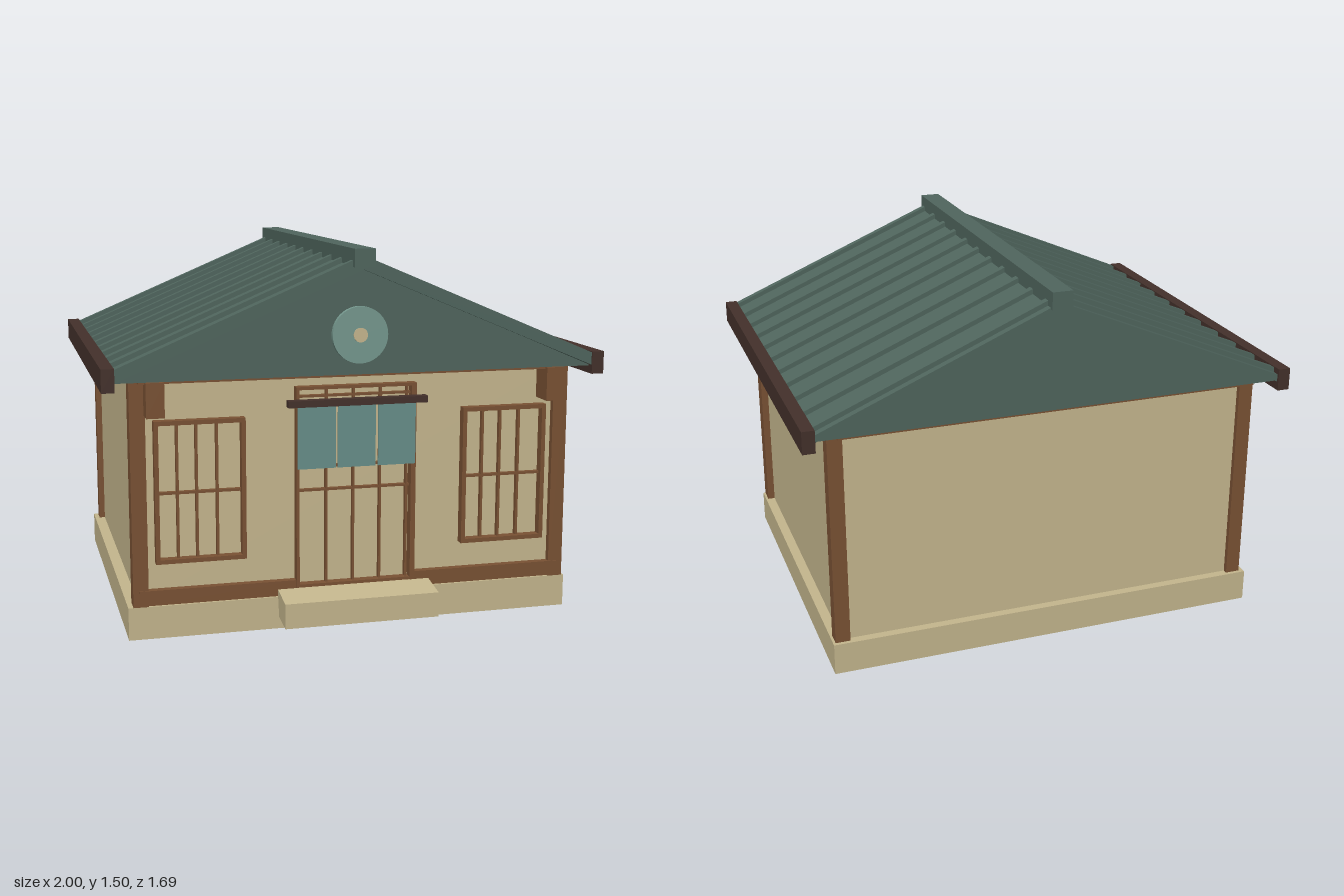
import * as THREE from 'three';

const mat = (name, color) => {
  const m = new THREE.MeshStandardMaterial({ color });
  m.name = name;
  return m;
};

export function createModel() {
  const plaster = mat('plaster cream', 0xc7b88f);
  const stone = mat('pale stone', 0xc5b78e);
  const wood = mat('brown wood', 0x7a5234);
  const darkWood = mat('dark wood', 0x44312b);
  const roofGreen = mat('roof green', 0x50665e);
  const paleTeal = mat('pale teal', 0x76998f);
  const cloth = mat('curtain teal', 0x688f8a);

  const house = new THREE.Group();
  house.name = 'house';

  const add = (name, geo, material, parent = house) => {
    const m = new THREE.Mesh(geo, material);
    m.name = name;
    parent.add(m);
    return m;
  };
  // box given by its two corners
  const box = (name, material, [x0, x1], [y0, y1], [z0, z1], parent = house) => {
    const m = add(name, new THREE.BoxGeometry(x1 - x0, y1 - y0, z1 - z0), material, parent);
    m.position.set((x0 + x1) / 2, (y0 + y1) / 2, (z0 + z1) / 2);
    return m;
  };
  // polygon in x, y extruded from z0 to z1
  const prism = (name, material, points, z0, z1, parent = house) => {
    const shape = new THREE.Shape(points.map(p => new THREE.Vector2(...p)));
    const geo = new THREE.ExtrudeGeometry(shape, { depth: z1 - z0, bevelEnabled: false });
    geo.translate(0, 0, z0);
    return add(name, geo, material, parent);
  };
  const group = (name) => {
    const g = new THREE.Group();
    g.name = name;
    house.add(g);
    return g;
  };

  // base and walls
  box('foundation', stone, [-0.91, 0.9], [0, 0.13], [-0.76, 0.71]);
  box('walls', plaster, [-0.865, 0.86], [0.13, 1.02], [-0.725, 0.685]);

  // front step, slightly tilted
  const step = prism('frontStep', stone,
    [[0.735, 0.055], [0.845, 0.042], [0.845, 0.142], [0.71, 0.163]], 0, 0.625);
  step.rotation.y = -Math.PI / 2;
  step.position.x = 0.305;

  // corner posts and front brackets
  for (const s of [-1, 1]) {
    const span = (a, b) => (s > 0 ? [a, b] : [-b, -a]);
    box('frontPost', wood, span(0.83, 0.89), [0.13, 1.02], [0.635, 0.71]);
    box('backPost', wood, span(0.83, 0.89), [0.13, 1.02], [-0.745, -0.685]);
    box('bracket', wood, span(0.765, 0.835), [0.885, 1.02], [0.64, 0.79]);
    box('sillBeam', wood, span(0.24, 0.865), [0.135, 0.195], [0.66, 0.715]);
  }

  // lattice: outer frame plus thin bars
  const lattice = (name, [x0, x1], [y0, y1], xs, ys, frame, bar) => {
    const g = group(name);
    const z = [0.68, 0.722];
    const zBar = [0.68, 0.705];
    box('frameLeft', wood, [x0, x0 + frame], [y0, y1], z, g);
    box('frameRight', wood, [x1 - frame, x1], [y0, y1], z, g);
    box('frameTop', wood, [x0, x1], [y1 - frame, y1], z, g);
    box('frameBottom', wood, [x0, x1], [y0, y0 + frame], z, g);
    for (const x of xs) box('verticalBar', wood, [x - bar / 2, x + bar / 2], [y0, y1], zBar, g);
    for (const y of ys) box('crossBar', wood, [x0, x1], [y - bar / 2, y + bar / 2], zBar, g);
    return g;
  };
  for (const x of [-0.8, 0.44]) {
    lattice('window', [x, x + 0.355], [0.3, 0.86], [0.09, 0.165, 0.245].map(d => x + d), [0.575], 0.017, 0.01);
  }
  const door = lattice('door', [-0.245, 0.24], [0.165, 0.97], [-0.12, -0.01, 0.1, 0.21], [0.555, 0.65, 0.93], 0.012, 0.009);
  box('doorPost', wood, [0.222, 0.242], [0.165, 0.97], [0.68, 0.725], door);

  // curtain rod with three cloth panels
  const curtain = group('doorCurtain');
  box('rod', darkWood, [-0.29, 0.27], [0.9, 0.926], [0.745, 0.782], curtain);
  for (const x of [-0.25, -0.09, 0.073]) {
    box('clothPanel', cloth, [x, x + 0.152], [0.655, 0.905], [0.76, 0.767], curtain);
  }

  // gable body and the strips under its overhang
  prism('gable', roofGreen, [[-0.96, 1.02], [0.96, 1.02], [0, 1.43]], -0.805, 0.775);
  box('backSoffit', wood, [-0.86, 0.86], [1.012, 1.021], [-0.8, -0.72]);
  box('frontSoffit', wood, [-0.86, 0.86], [1.012, 1.021], [0.68, 0.77]);

  // roof sheet and raised ribs share one chevron section
  const chevron = (name, rise, z0, z1) => prism(name, roofGreen, [
    [-0.965, 1.02], [0, 1.425], [0.965, 1.02],
    [0.965, 1.05 + rise], [0, 1.458 + rise], [-0.965, 1.05 + rise],
  ], z0, z1);
  chevron('roofSheet', 0, -0.83, 0.8);
  for (let i = -5; i <= 5; i++) {
    const z = i * 0.157;
    chevron('roofRib', 0.02, z - 0.015, z + 0.015);
  }
  box('ridgeCap', roofGreen, [-0.043, 0.04], [1.435, 1.505], [-0.845, 0.825]);
  box('eaveLeft', darkWood, [0.95, 1], [0.99, 1.08], [-0.84, 0.805]);
  box('eaveRight', darkWood, [-1, -0.95], [0.99, 1.08], [-0.84, 0.805]);

  // round gable ornament
  const disc = (name, material, r, z0, z1) => {
    const geo = new THREE.CylinderGeometry(r, r, z1 - z0, 40);
    geo.rotateX(Math.PI / 2);
    add(name, geo, material).position.set(-0.01, 1.175, (z0 + z1) / 2);
  };
  disc('gableDisc', paleTeal, 0.11, 0.76, 0.796);
  disc('discCentre', plaster, 0.028, 0.793, 0.8);

  return house;
}
